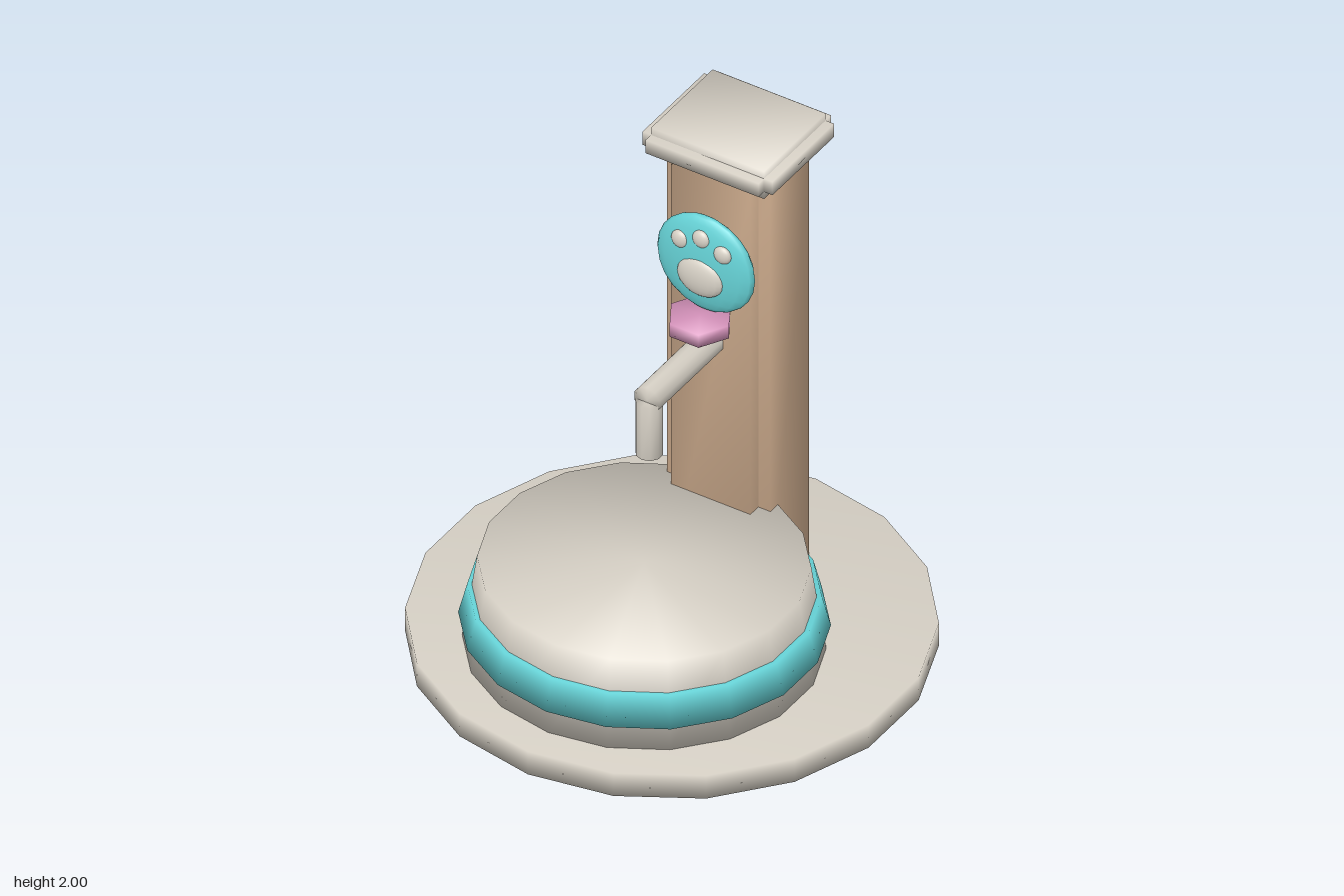
import * as THREE from 'three';
import { mergeVertices } from 'three/addons/utils/BufferGeometryUtils.js';

const mat = (name, color) => {
  const m = new THREE.MeshStandardMaterial({ color });
  m.name = name;
  return m;
};

// Share corners so the shading rolls softly over every edge
function soften(geometry) {
  geometry.deleteAttribute('normal');
  geometry.deleteAttribute('uv');
  const merged = mergeVertices(geometry, 1e-4);
  merged.computeVertexNormals();
  return merged;
}

export function createModel() {
  const root = new THREE.Group();
  root.name = 'pawFountain';
  const stone = mat('pale stone', 0xd6d0c5);
  const wood = mat('tan post', 0xc9a88a);
  const teal = mat('teal', 0x66d2d6);
  const pink = mat('pink', 0xd492ba);

  function add(name, geometry, material, x, y, z, parent = root) {
    const mesh = new THREE.Mesh(geometry, material);
    mesh.name = name;
    mesh.position.set(x, y, z);
    parent.add(mesh);
    return mesh;
  }

  // Upright frustum between two heights
  const drum = (name, rTop, rBottom, y0, y1, z, sides, material) =>
    add(name, soften(new THREE.CylinderGeometry(rTop, rBottom, y1 - y0, sides)),
      material, 0, (y0 + y1) / 2, z);

  // Softened block: three crossed boxes, each reaching out along one axis
  function crossedBlock(name, material, [w, h, d], [stepX, stepY, stepZ], y0, z, flatBottom) {
    const group = new THREE.Group();
    group.name = name;
    const inW = w - 2 * stepX, inD = d - 2 * stepZ;
    const bottom = flatBottom ? y0 : y0 + stepY;
    const midH = y0 + h - stepY - bottom;
    const midY = bottom + midH / 2;
    const box = (part, a, b, c, y) =>
      add(part, soften(new THREE.BoxGeometry(a, b, c)), material, 0, y, z, group);
    box(name + 'Wide', w, midH, inD, midY);
    box(name + 'Deep', inW, midH, d, midY);
    box(name + 'Tall', inW, h, inD, y0 + h / 2);
    root.add(group);
  }

  // Round foot and slightly oval basin with its band
  drum('base', 0.935, 0.935, 0, 0.1, 0, 18, stone);
  drum('basin', 0.573, 0.624, 0.1, 0.45, 0.18, 18, stone).scale.x = 1.03;
  drum('basinBand', 0.608, 0.639, 0.2, 0.325, 0.178, 18, teal).scale.x = 1.03;

  // Post and cap
  crossedBlock('post', wood, [0.43, 1.78, 0.355], [0.05, 0.025, 0.052], 0.1, -0.428, true);
  crossedBlock('cap', stone, [0.54, 0.12, 0.47], [0.035, 0.031, 0.035], 1.88, -0.43, false);

  // Spout: level pipe and down-turned nozzle
  const pipe = soften(new THREE.CylinderGeometry(0.055, 0.055, 0.465, 10));
  add('spoutPipe', pipe, stone, 0, 1.15, -0.07).rotation.x = Math.PI / 2;
  drum('spoutNozzle', 0.05, 0.05, 0.91, 1.14, 0.147, 10, stone);

  // Button shelf above the spout
  const button = soften(new THREE.CylinderGeometry(0.12, 0.12, 0.055, 6).rotateY(Math.PI / 6));
  add('button', button, pink, 0, 1.278, -0.182);

  // Paw badge: flattened ellipsoids
  const oval = (name, material, x, y, z, rx, ry, rz) =>
    add(name, new THREE.SphereGeometry(1, 18, 12), material, x, y, z).scale.set(rx, ry, rz);
  oval('badge', teal, 0, 1.51, -0.222, 0.203, 0.203, 0.048);
  oval('pawPad', stone, 0, 1.47, -0.185, 0.096, 0.08, 0.032);
  oval('toeMiddle', stone, 0, 1.632, -0.191, 0.036, 0.036, 0.02);
  for (const side of [-1, 1]) {
    oval(side > 0 ? 'toeLeft' : 'toeRight', stone, side * 0.088, 1.598, -0.191, 0.036, 0.036, 0.02);
  }
  return root;
}
